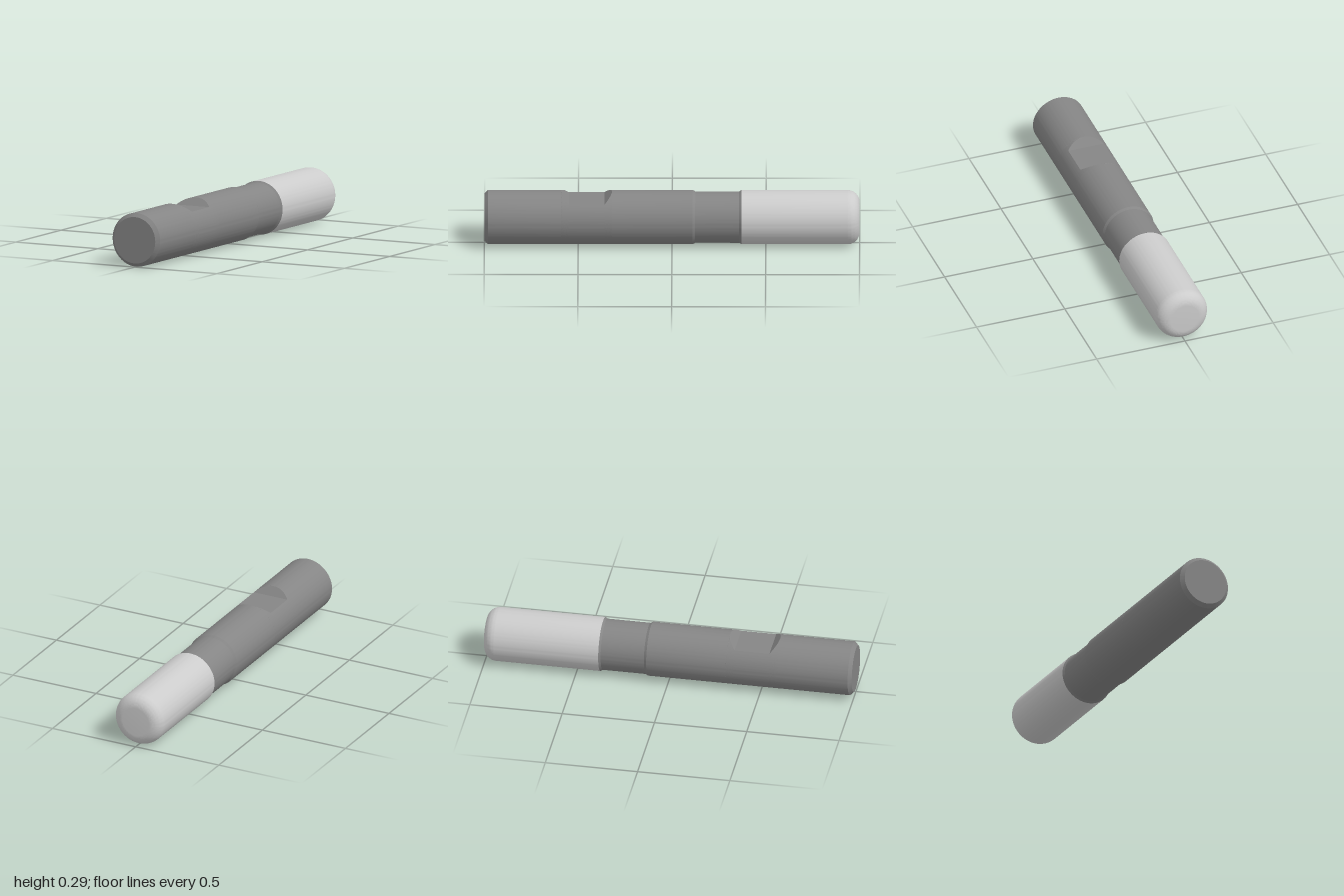
import * as THREE from 'three';
import { toCreasedNormals } from 'three/addons/utils/BufferGeometryUtils.js';

const R = 0.1445; // main radius
const NECK = 0.137;
const AXIS_Y = 0.145;
const ARC = 120; // steps round the cylinder
const FLAT = 12; // steps across the clamping flat

// Surface of revolution about z from [radius, z] points, z increasing
function turned(name, profile, material) {
  const geo = new THREE.LatheGeometry(profile.map(([r, z]) => new THREE.Vector2(r, z)), ARC);
  geo.rotateX(Math.PI / 2);
  const mesh = new THREE.Mesh(toCreasedNormals(geo, 0.45), material);
  mesh.name = name;
  return mesh;
}

// Cylinder lofted from rings { z, r, a }; a is the half angle cut off by a flat on top
function loftWithFlat(rings) {
  const count = ARC + FLAT;
  const loops = rings.map(({ z, r, a }) => {
    const loop = [];
    for (let j = 0; j < ARC; j++) {
      const t = Math.PI / 2 + a + (j / ARC) * (2 * Math.PI - 2 * a);
      loop.push([r * Math.cos(t), r * Math.sin(t), z]);
    }
    for (let j = 0; j < FLAT; j++) {
      loop.push([r * Math.sin(a) * (1 - (2 * j) / FLAT), r * Math.cos(a), z]);
    }
    return loop;
  });
  const pos = [];
  for (let i = 0; i < rings.length - 1; i++) {
    const lo = loops[i], hi = loops[i + 1];
    for (let j = 0; j < count; j++) {
      const k = (j + 1) % count;
      const onFlat = j >= ARC;
      // leave out triangles that collapse where the flat has no width
      if (!onFlat || rings[i].a > 0) pos.push(...lo[j], ...lo[k], ...hi[k]);
      if (!onFlat || rings[i + 1].a > 0) pos.push(...lo[j], ...hi[k], ...hi[j]);
    }
  }
  const geo = new THREE.BufferGeometry();
  geo.setAttribute('position', new THREE.Float32BufferAttribute(pos, 3));
  return toCreasedNormals(geo, 0.45);
}

export function createModel() {
  const group = new THREE.Group();
  const dark = new THREE.MeshStandardMaterial({ color: 0x858585 });
  const light = new THREE.MeshStandardMaterial({ color: 0xcccccc });
  const tool = new THREE.Group();
  tool.name = 'cylindricalTool';
  tool.position.y = AXIS_Y;
  group.add(tool);

  // Shank with a clamping notch: 45 degree ramps down to a flat floor
  const cut = Math.acos(0.104 / R);
  const depth = R - 0.104;
  const steps = 16;
  const rings = [{ z: -0.11, r: R, a: 0 }];
  for (let i = 0; i <= steps; i++) {
    const a = (cut * i) / steps;
    rings.push({ z: 0.32 + R * (1 - Math.cos(a)), r: R, a });
  }
  for (let i = steps; i >= 0; i--) {
    const a = (cut * i) / steps;
    rings.push({ z: 0.55 + depth - R * (1 - Math.cos(a)), r: R, a });
  }
  rings.push({ z: 0.981, r: R, a: 0 });
  const shank = new THREE.Mesh(loftWithFlat(rings), dark);
  shank.name = 'shank';
  tool.add(shank);

  // Chamfered front end
  tool.add(turned('shankEnd', [[R, 0.981], [0.125, 1], [0, 1]], dark));

  // Narrow neck with a small bevel at each shoulder
  tool.add(turned('neck', [[R, -0.37], [NECK, -0.358], [NECK, -0.124], [R, -0.11]], dark));

  // Cutting head with a rounded tip
  const corner = 0.065;
  const head = [[0, -1]];
  for (let i = 0; i <= 14; i++) {
    const t = (i / 14) * (Math.PI / 2);
    head.push([R - corner + corner * Math.sin(t), -1 + corner - corner * Math.cos(t)]);
  }
  head.push([R, -0.37]);
  tool.add(turned('cuttingHead', head, light));

  return group;
}
